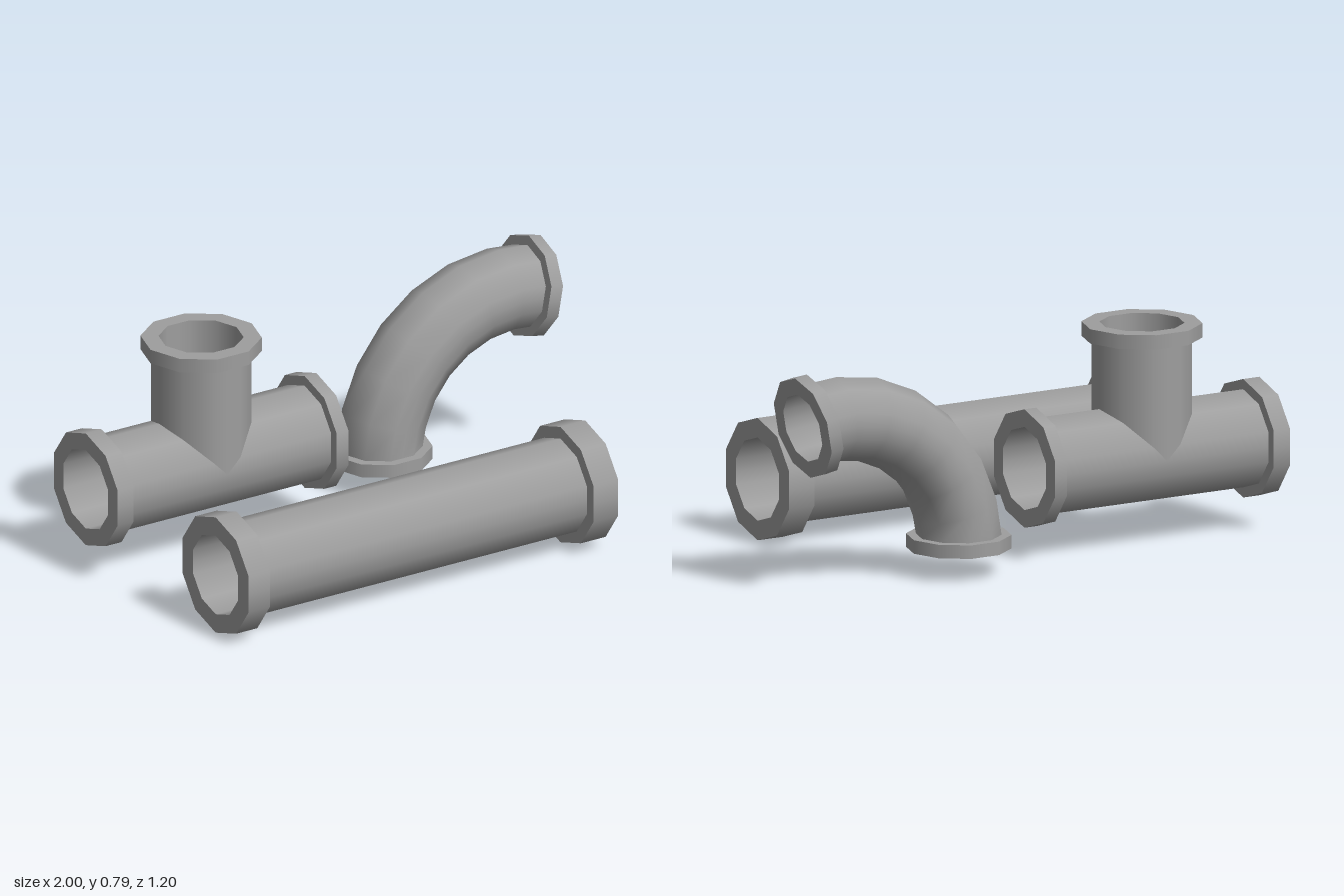
import * as THREE from 'three';
import { mergeGeometries } from 'three/addons/utils/BufferGeometryUtils.js';

// Decagon profile, with its two side edges split at the middle so tee seams meet exactly
const PROFILE = [0, 36, 72, 90, 108, 144, 180, 216, 252, 270, 288, 324].map((deg) => {
  const a = THREE.MathUtils.degToRad(deg);
  const k = deg % 180 === 90 ? Math.cos(Math.PI / 10) : 1;
  return [Math.cos(a) * k, Math.sin(a) * k];
});

// Ring of points with radial directions around (x, y); the axis lies in the xy plane.
// shift(s) slides a point along the axis by its in-plane offset s (for mitred seams).
function ring(x, y, angle, r, shift = () => 0) {
  const c = Math.cos(angle), n = Math.sin(angle);
  return PROFILE.map(([u, v]) => {
    const s = u * r, t = shift(s);
    return {
      point: new THREE.Vector3(x + c * t - n * s, y + n * t + c * s, v * r),
      radial: new THREE.Vector3(-n * u, c * u, v).normalize(),
    };
  });
}

// Skin a list of rings: round walls get smooth radial normals, end faces stay flat
function loft(rings) {
  const positions = [], normals = [];
  const edge1 = new THREE.Vector3(), edge2 = new THREE.Vector3();
  for (let i = 0; i < rings.length - 1; i++) {
    const A = rings[i], B = rings[i + 1];
    for (let j = 0; j < A.length; j++) {
      const k = (j + 1) % A.length;
      edge1.subVectors(B[k].point, A[j].point);
      edge2.subVectors(B[j].point, A[k].point);
      const face = edge1.cross(edge2).normalize();
      for (const { point, radial } of [A[j], A[k], B[k], A[j], B[k], B[j]]) {
        const d = face.dot(radial);
        const normal = Math.abs(d) < 0.3 ? face : radial.clone().multiplyScalar(Math.sign(d));
        positions.push(...point.toArray());
        normals.push(...normal.toArray());
      }
    }
  }
  const g = new THREE.BufferGeometry();
  g.setAttribute('position', new THREE.Float32BufferAttribute(positions, 3));
  g.setAttribute('normal', new THREE.Float32BufferAttribute(normals, 3));
  return g;
}

const material = new THREE.MeshStandardMaterial({ color: 0x9e9e9e });

function part(name, geometry) {
  const mesh = new THREE.Mesh(geometry, material);
  mesh.name = name;
  return mesh;
}

// Hollow pipe with a collar at each end; stations are [x, y, angle]:
// outer end, collar back, ...bend..., collar back, outer end
function collaredPipe(name, stations, bore, radius, collar) {
  const at = (s, r) => ring(...s, r);
  const n = stations.length;
  const first = stations[0], last = stations[n - 1];
  return part(name, loft([
    at(first, bore), at(first, collar), at(stations[1], collar),
    ...stations.slice(1, -1).map((s) => at(s, radius)),
    at(stations[n - 2], collar), at(last, collar),
    ...[...stations].reverse().map((s) => at(s, bore)),
  ]));
}

// Three arms with mitred seams, each with a collar
function createTee() {
  const cx = -0.51, cy = 0.318, bore = 0.151, radius = 0.178, collar = 0.215;
  const arms = [
    { angle: 0, length: 0.49, width: 0.05, seam: (s) => Math.max(s, 0) },
    { angle: Math.PI, length: 0.49, width: 0.068, seam: (s) => Math.max(-s, 0) },
    { angle: Math.PI / 2, length: 0.472, width: 0.052, seam: Math.abs },
  ];
  const walls = [], collars = [];
  for (const { angle, length, width, seam } of arms) {
    const at = (t, r) => ring(cx + Math.cos(angle) * t, cy + Math.sin(angle) * t, angle, r);
    const back = length - width;
    walls.push(
      loft([ring(cx, cy, angle, radius, seam), at(back, radius)]),
      loft([at(length, bore), ring(cx, cy, angle, bore, seam)]),
    );
    collars.push(loft([at(back, radius), at(back, collar), at(length, collar), at(length, bore)]));
  }
  const tee = new THREE.Group();
  tee.name = 'teePipe';
  tee.add(part('teeWalls', mergeGeometries(walls)), part('teeCollars', mergeGeometries(collars)));
  return tee;
}

function createElbow() {
  const cx = 0.828, cy = 0.107, R = 0.512;
  const stations = [[cx - R, 0.091, Math.PI / 2], [cx - R, 0.14, Math.PI / 2]];
  // Bend of 100 degrees
  for (const deg of [15, 30, 45, 60, 75, 90, 100]) {
    const a = THREE.MathUtils.degToRad(deg);
    stations.push([cx - R * Math.cos(a), cy + R * Math.sin(a), Math.PI / 2 - a]);
  }
  const [x, y, a] = stations[stations.length - 1];
  stations.push([x + 0.05 * Math.cos(a), y + 0.05 * Math.sin(a), a]);
  return collaredPipe('elbowPipe', stations, 0.126, 0.152, 0.187);
}

export function createModel() {
  const group = new THREE.Group();
  group.name = 'pipeSet';

  const straight = collaredPipe('straightPipe',
    [-0.92, -0.83, 0.545, 0.65].map((x) => [x, 0.223, 0]), 0.151, 0.177, 0.222);
  straight.position.z = 0.388;

  const tee = createTee();
  tee.position.z = -0.322;

  const elbow = createElbow();
  elbow.position.z = -0.422;

  group.add(straight, tee, elbow);
  return group;
}
